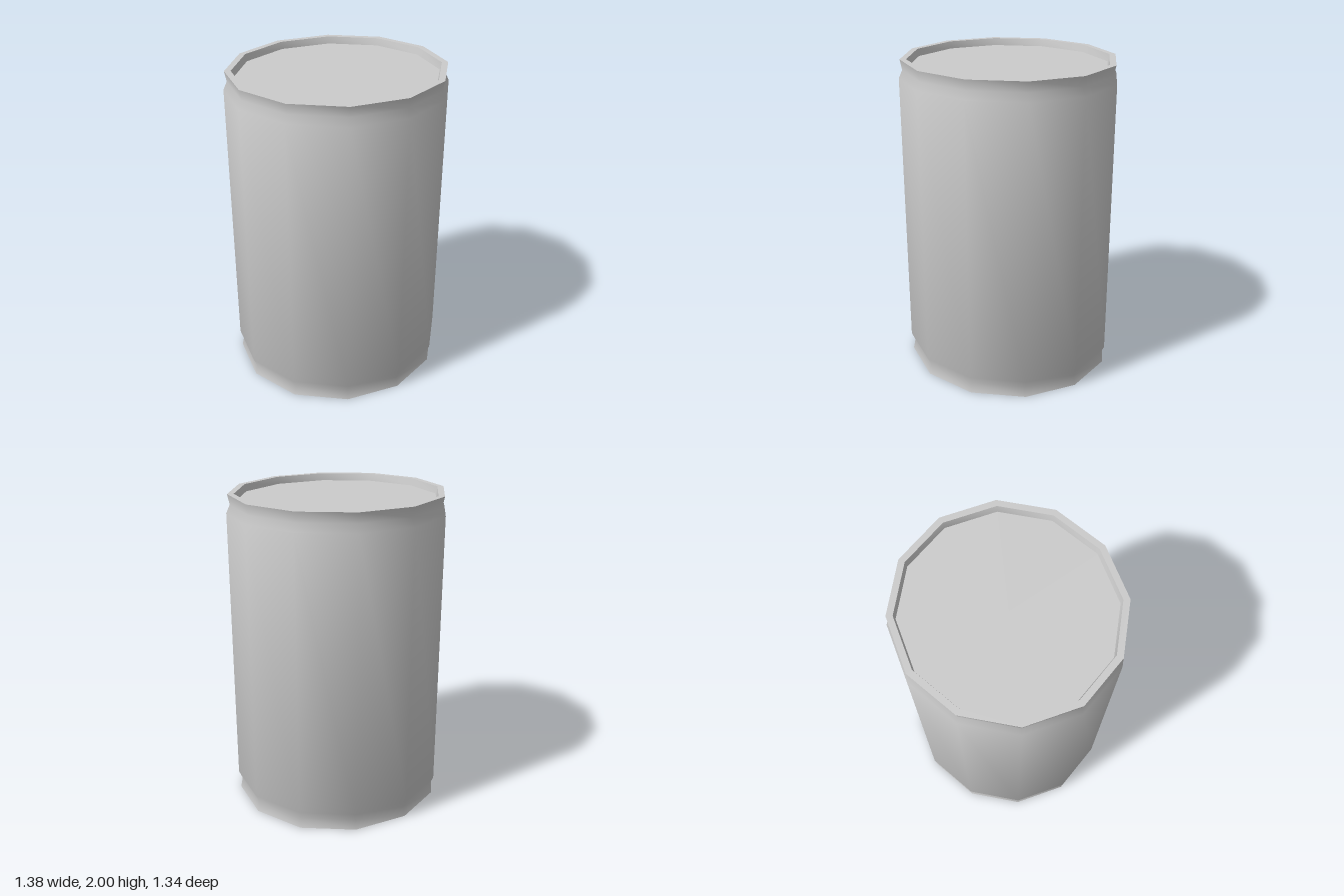
import * as THREE from 'three';
import { toCreasedNormals } from 'three/addons/utils/BufferGeometryUtils.js';

const SIDES = 12;
const DEPTH_SCALE = 0.968; // slightly narrower front to back

// Turns a profile of [radius, height] pairs, listed bottom to top
function turned(name, profile, material) {
  const points = profile.map(([r, y]) => new THREE.Vector2(r, y));
  const lathe = new THREE.LatheGeometry(points, SIDES);
  lathe.scale(1, 1, DEPTH_SCALE);
  const mesh = new THREE.Mesh(toCreasedNormals(lathe, Math.PI / 3), material);
  mesh.name = name;
  return mesh;
}

// Flat recessed end disc, facing up (1) or down (-1)
function endCap(name, radius, y, facing, material) {
  const disc = new THREE.CircleGeometry(radius, SIDES);
  disc.rotateX(-facing * Math.PI / 2);
  disc.scale(1, 1, DEPTH_SCALE);
  const mesh = new THREE.Mesh(disc, material);
  mesh.position.y = y;
  mesh.name = name;
  return mesh;
}

export function createModel() {
  const group = new THREE.Group();
  group.name = 'can';
  const metal = new THREE.MeshStandardMaterial({ color: 0xcccccc });

  // Lower half: recess wall, rim, pinched neck, shoulder; the upper half mirrors it
  const half = [[0.63, 0.045], [0.64, 0], [0.68, 0], [0.667, 0.064], [0.69, 0.115]];
  const mirrored = half.map(([r, y]) => [r, 2 - y]).reverse();
  group.add(turned('canWall', [...half, ...mirrored], metal));

  // Recessed ends
  const [capRadius, recess] = half[0];
  group.add(endCap('topLid', capRadius, 2 - recess, 1, metal));
  group.add(endCap('bottomLid', capRadius, recess, -1, metal));
  return group;
}
